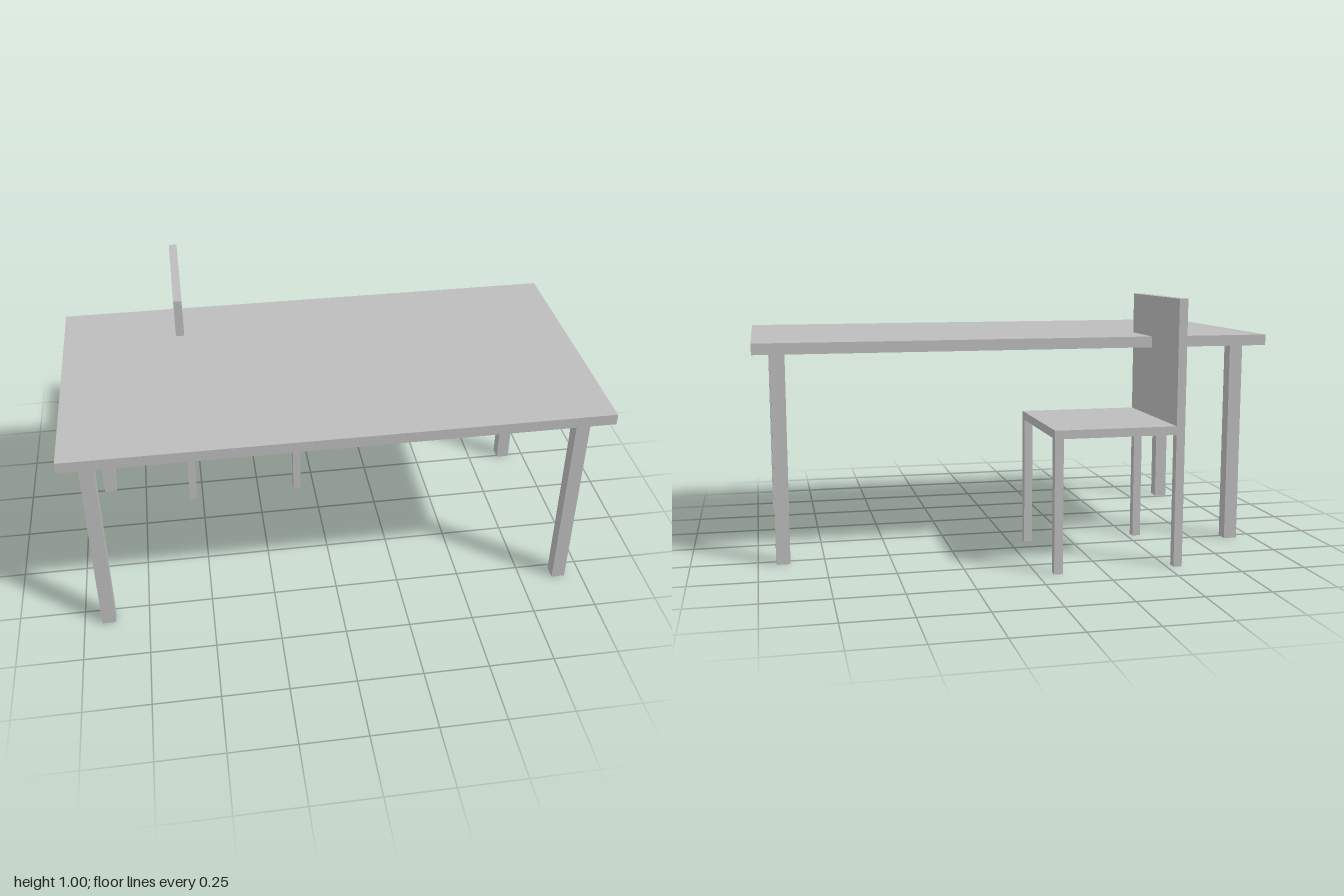
import * as THREE from 'three';

export function createModel() {
  const model = new THREE.Group();
  const grey = new THREE.MeshStandardMaterial({ color: 0xbcbcbc });
  grey.name = 'light grey';

  // Box given by its minimum and maximum corners
  function box(parent, name, [x0, y0, z0], [x1, y1, z1]) {
    const mesh = new THREE.Mesh(new THREE.BoxGeometry(x1 - x0, y1 - y0, z1 - z0), grey);
    mesh.position.set((x0 + x1) / 2, (y0 + y1) / 2, (z0 + z1) / 2);
    mesh.name = name;
    parent.add(mesh);
  }

  // Four square legs, with outer faces on the given rectangle
  function legs(parent, name, x0, x1, z0, z1, size, height) {
    for (const x of [x0, x1 - size]) {
      for (const z of [z0, z1 - size]) {
        box(parent, name, [x, 0, z], [x + size, height, z + size]);
      }
    }
  }

  // Table
  const table = new THREE.Group();
  table.name = 'table';
  box(table, 'tableTop', [-1, 0.803, -0.361], [1, 0.845, 0.639]);
  legs(table, 'tableLeg', -0.933, 0.933, -0.293, 0.573, 0.053, 0.803);
  model.add(table);

  // Chair, turned sideways and partly under the table
  const chair = new THREE.Group();
  chair.name = 'chair';
  box(chair, 'seat', [-0.557, 0.503, -0.639], [-0.06, 0.535, -0.139]);
  box(chair, 'backrest', [-0.557, 0.535, -0.639], [-0.524, 1.003, -0.139]);
  legs(chair, 'chairLeg', -0.557, -0.06, -0.639, -0.139, 0.033, 0.503);
  model.add(chair);

  return model;
}
